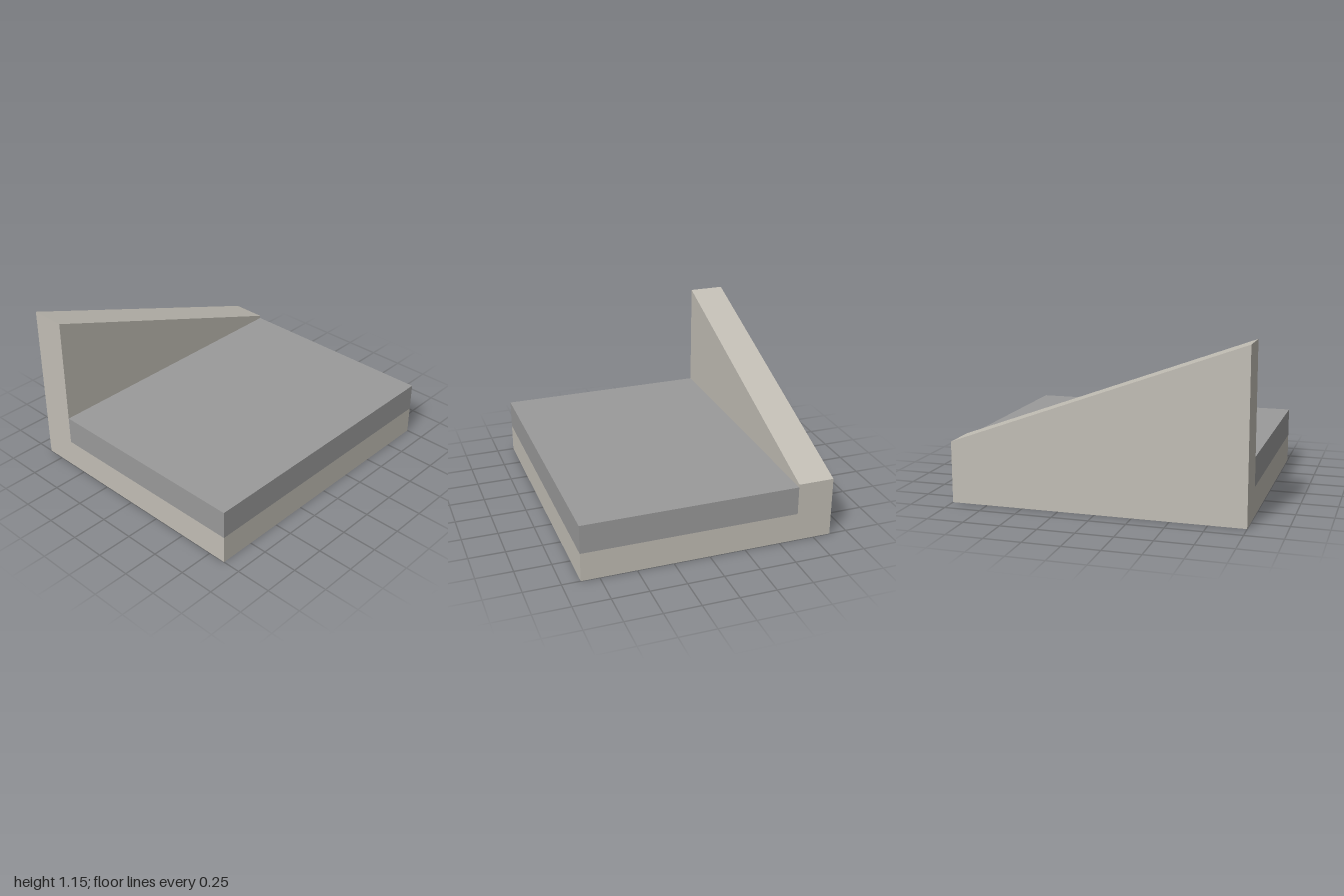
import * as THREE from 'three';

const LEFT = -0.875, INNER = -0.625, RIGHT = 0.875;

export function createModel() {
  const stone = new THREE.MeshStandardMaterial({ color: 0xc2beb5 });
  stone.name = 'warm stone';
  const grey = new THREE.MeshStandardMaterial({ color: 0x9a9a9a });
  grey.name = 'grey paving';
  const group = new THREE.Group();
  group.name = 'rampWallBlock';

  const add = (name, geometry, material) => {
    const mesh = new THREE.Mesh(geometry, material);
    mesh.name = name;
    group.add(mesh);
  };

  // Flat slabs beside the wall: base below, paving on top
  const slab = (name, y0, y1, material) => {
    const g = new THREE.BoxGeometry(RIGHT - INNER, y1 - y0, 2);
    g.translate((RIGHT + INNER) / 2, (y0 + y1) / 2, 0);
    add(name, g, material);
  };
  slab('baseSlab', 0, 0.2, stone);
  slab('pavingSlab', 0.2, 0.4, grey);

  // Side wall: sloped profile in z and y, extruded across x
  const profile = new THREE.Shape([
    new THREE.Vector2(-1, 0),
    new THREE.Vector2(1, 0),
    new THREE.Vector2(1, 1.155),
    new THREE.Vector2(-1, 0.42),
  ]);
  const wall = new THREE.ExtrudeGeometry(profile, { depth: INNER - LEFT, bevelEnabled: false });
  wall.rotateY(-Math.PI / 2);
  wall.translate(INNER, 0, 0);
  add('slopedWall', wall, stone);

  return group;
}
